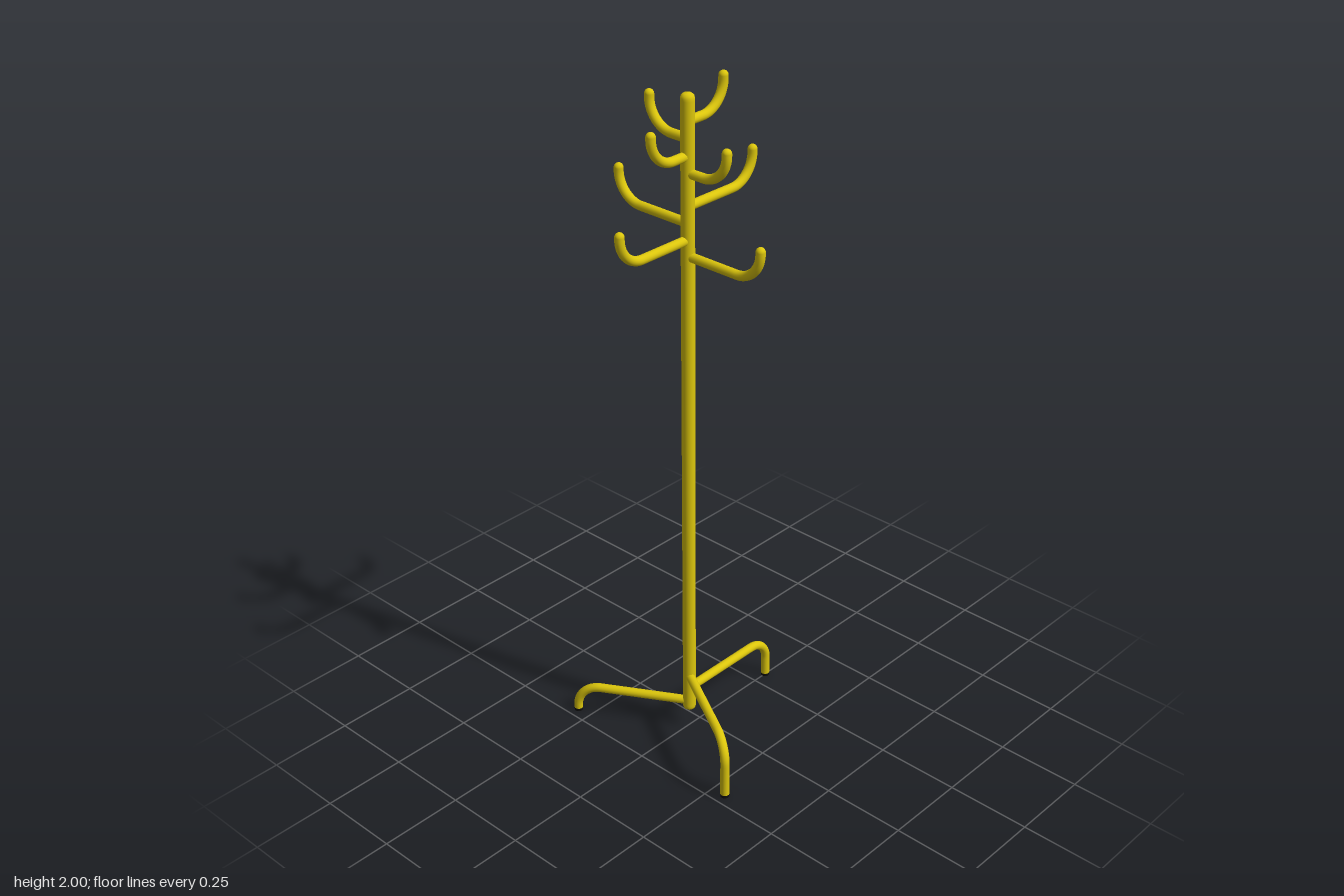
import * as THREE from 'three';

const POLE_Z = 0.046;
const TUBE_R = 0.0133;

// Straight run out from the pole, quarter bend, then a straight end up (dir 1) or down (dir -1)
function bentPath(reach, bend, rise, dir) {
  const path = new THREE.CurvePath();
  const a = new THREE.Vector3(0, 0, 0);
  const b = new THREE.Vector3(reach - bend, 0, 0);
  path.add(new THREE.LineCurve3(a, b));
  const k = bend * 0.5523;
  const c = new THREE.Vector3(reach, dir * bend, 0);
  path.add(new THREE.CubicBezierCurve3(
    b,
    new THREE.Vector3(reach - bend + k, 0, 0),
    new THREE.Vector3(reach, dir * (bend - k), 0),
    c
  ));
  path.add(new THREE.LineCurve3(c, new THREE.Vector3(reach, dir * rise, 0)));
  return path;
}

export function createModel() {
  const model = new THREE.Group();
  model.name = 'coatStand';
  const yellow = new THREE.MeshStandardMaterial({ color: 0xdcc60c });
  yellow.name = 'yellow paint';
  const black = new THREE.MeshStandardMaterial({ color: 0x101010 });
  black.name = 'black rubber';

  const add = (parent, name, geometry, material) => {
    const mesh = new THREE.Mesh(geometry, material);
    mesh.name = name;
    parent.add(mesh);
    return mesh;
  };

  // Upright pole with softly domed ends
  const profile = [
    [0, 0.06], [0.011, 0.062], [0.017, 0.067], [0.019, 0.073],
    [0.019, 0.08], [0.019, 1.955], [0.019, 1.962],
    [0.017, 1.969], [0.011, 1.974], [0, 1.976],
  ].map(([r, y]) => new THREE.Vector2(r, y));
  add(model, 'pole', new THREE.LatheGeometry(profile, 32), yellow).position.z = POLE_Z;

  // Arms radiate from the pole; angle is measured from +x towards -z
  const arm = (name, y, angle) => {
    const group = new THREE.Group();
    group.name = name;
    group.position.set(0, y, POLE_Z);
    group.rotation.y = angle;
    model.add(group);
    return group;
  };

  // Hooks: two spiralling tiers of four, each with a rounded tip
  const tiers = [
    { name: 'upperHook', reach: 0.134, top: 1.9 },
    { name: 'lowerHook', reach: 0.25, top: 1.668 },
  ];
  for (const { name, reach, top } of tiers) {
    for (let i = 0; i < 4; i++) {
      const hook = arm(name + (i + 1), top - i * 0.0465, Math.PI / 2 * (i + 1));
      const tube = new THREE.TubeGeometry(bentPath(reach, 0.08, 0.087, 1), 64, TUBE_R, 16);
      add(hook, 'hookTube', tube, yellow);
      const tip = new THREE.SphereGeometry(TUBE_R, 16, 8, 0, Math.PI * 2, 0, Math.PI / 2);
      add(hook, 'hookTip', tip, yellow).position.set(reach, 0.087, 0);
    }
  }

  // Three legs at staggered heights, each ending in a black foot
  const reach = 0.343;
  const legs = [
    ['leftLeg', 0.182, -Math.PI / 6],
    ['backLeg', 0.136, Math.PI / 2],
    ['rightLeg', 0.09, -Math.PI * 5 / 6],
  ];
  for (const [name, y, angle] of legs) {
    const leg = arm(name, y, angle);
    const tube = new THREE.TubeGeometry(bentPath(reach, 0.07, y - 0.009, -1), 64, TUBE_R, 16);
    add(leg, 'legTube', tube, yellow);
    const foot = new THREE.CylinderGeometry(TUBE_R, TUBE_R * 0.95, 0.009, 16);
    add(leg, 'foot', foot, black).position.set(reach, 0.0045 - y, 0);
  }
  return model;
}
